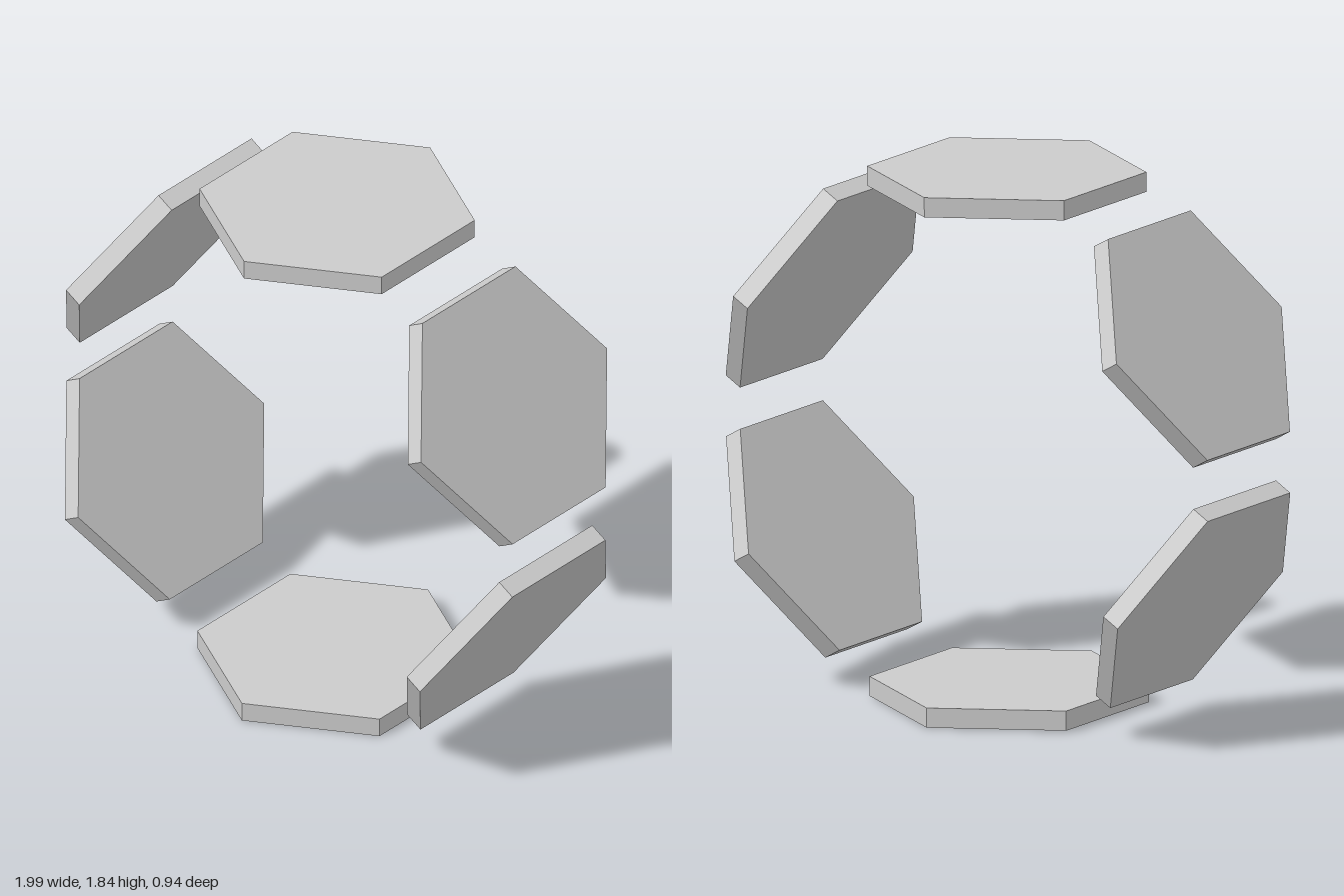
import * as THREE from 'three';

const COUNT = 6;
const RING_RADIUS = 0.882;
const CENTRE_Y = 0.918;
const TILT = -0.0055; // slight roll of the whole ring

export function createModel() {
  const model = new THREE.Group();
  model.name = 'hexagonPlateRing';

  const material = new THREE.MeshStandardMaterial({ color: 0xcccccc, flatShading: true });

  // Hexagonal plate: points along z, flat edges along x
  const plate = new THREE.CylinderGeometry(0.47, 0.47, 0.068, 6);

  // Ring of plates, each facing outward from the centre
  const ring = new THREE.Group();
  ring.name = 'plateRing';
  ring.position.y = CENTRE_Y;
  ring.rotation.z = TILT;
  for (let i = 0; i < COUNT; i++) {
    const angle = (i / COUNT) * Math.PI * 2;
    const mesh = new THREE.Mesh(plate, material);
    mesh.name = `hexagonPlate${i + 1}`;
    mesh.position.set(-Math.sin(angle) * RING_RADIUS, Math.cos(angle) * RING_RADIUS, 0);
    mesh.rotation.z = angle;
    ring.add(mesh);
  }
  model.add(ring);
  return model;
}
